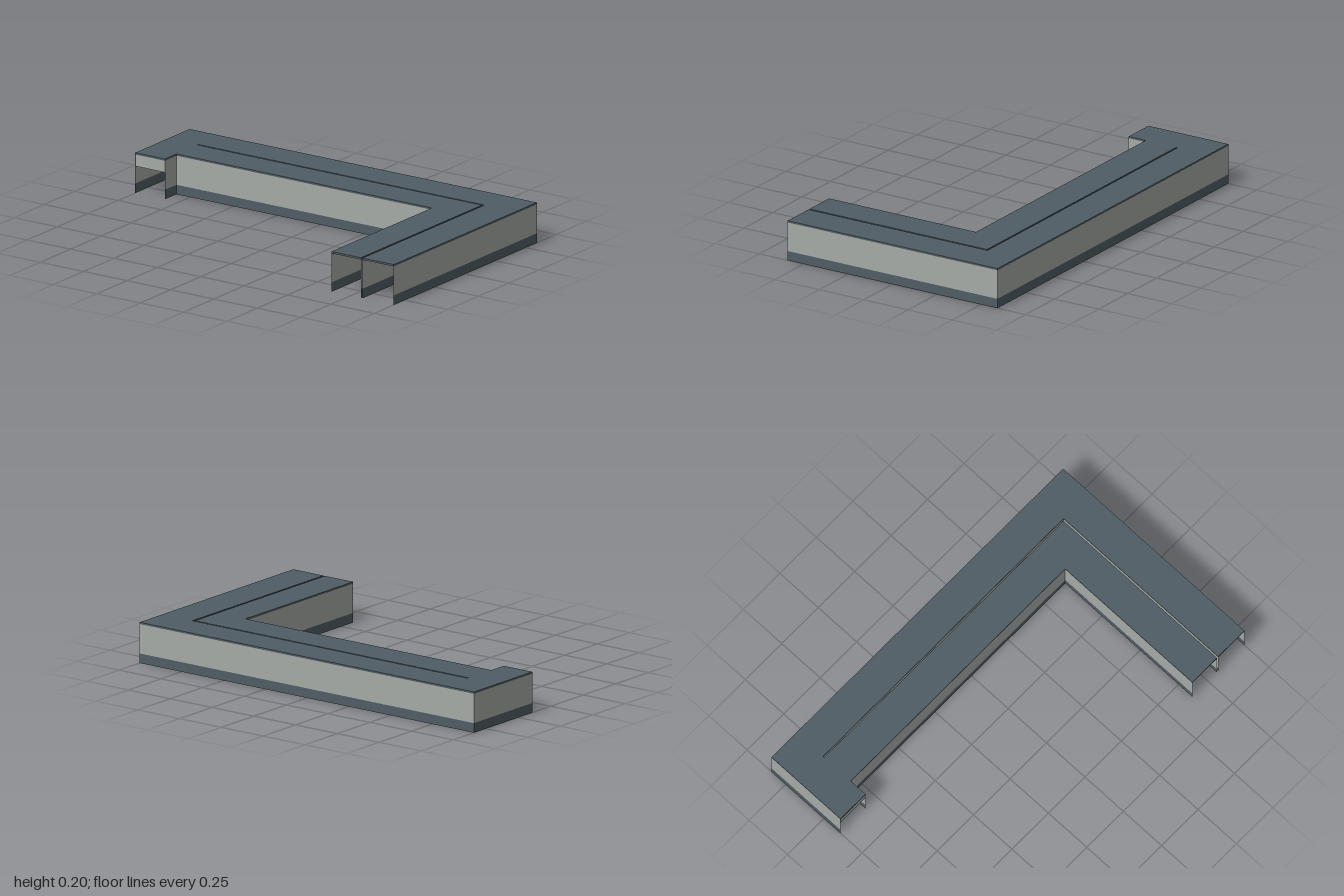
import * as THREE from 'three';

const TOP = 0.2, CEILING = 0.191, BASE = 0.047;

// Plan outlines as [x, z] points
const OUTER = [[1, 0.59], [1, -0.592], [-1, -0.592], [-1, -0.142]];
const INNER = [[-0.829, -0.142], [-0.829, -0.238], [0.642, -0.238], [0.642, 0.59]];
const SLOT = [[0.811, 0.59], [0.811, -0.41], [-0.829, -0.41], [-0.829, -0.418], [0.82, -0.418], [0.82, 0.59]];

export function createModel() {
  const dark = new THREE.MeshStandardMaterial({ color: 0x4f5d64, side: THREE.DoubleSide });
  dark.name = 'slate';
  const light = new THREE.MeshStandardMaterial({ color: 0xa5aaa6, side: THREE.DoubleSide });
  light.name = 'paleGrey';

  const model = new THREE.Group();
  model.name = 'corridors';

  const add = (name, geometry, material, parent = model) => {
    const mesh = new THREE.Mesh(geometry, material);
    mesh.name = name;
    parent.add(mesh);
    return mesh;
  };

  // Upright sheet between two plan points
  const sheet = (name, a, b, y0, y1, material, parent) => {
    const dx = b[0] - a[0], dz = b[1] - a[1];
    const mesh = add(name, new THREE.PlaneGeometry(Math.hypot(dx, dz), y1 - y0), material, parent);
    mesh.position.set((a[0] + b[0]) / 2, (y0 + y1) / 2, (a[1] + b[1]) / 2);
    mesh.rotation.y = -Math.atan2(dz, dx);
  };

  // Walls with a dark skirting band along each outline
  const walls = { outerWalls: OUTER, innerWalls: INNER, dividingWalls: SLOT };
  for (const [name, path] of Object.entries(walls)) {
    const group = new THREE.Group();
    group.name = name;
    model.add(group);
    for (let i = 0; i < path.length - 1; i++) {
      sheet('skirting', path[i], path[i + 1], 0, BASE, dark, group);
      sheet('wall', path[i], path[i + 1], BASE, CEILING, light, group);
    }
  }

  // Panel above the opening of the short end
  sheet('doorHeader', [-1, -0.146], [-0.829, -0.146], 0.132, CEILING, light);

  // Roof slab, slotted between the two corridors
  const shape = new THREE.Shape(
    [...OUTER, ...INNER, ...SLOT].map(([x, z]) => new THREE.Vector2(x, -z))
  );
  const roof = new THREE.ExtrudeGeometry(shape, { depth: TOP - CEILING, bevelEnabled: false });
  roof.rotateX(-Math.PI / 2);
  add('roof', roof, dark).position.y = CEILING;

  // Ceiling lamps along the middle of each corridor
  const lamp = (x, z, w, d) =>
    add('ceilingLamp', new THREE.BoxGeometry(w, 0.008, d), light).position.set(x, CEILING - 0.004, z);
  for (let i = 0; i < 5; i++) {
    const z = 0.5 - i * 0.2;
    lamp(0.727, z, 0.035, 0.1);
    lamp(0.91, z, 0.035, 0.1);
  }
  for (let i = 0; i < 7; i++) {
    const x = 0.5 - i * 0.2;
    lamp(x, -0.324, 0.1, 0.035);
    lamp(x, -0.505, 0.1, 0.035);
  }
  return model;
}
